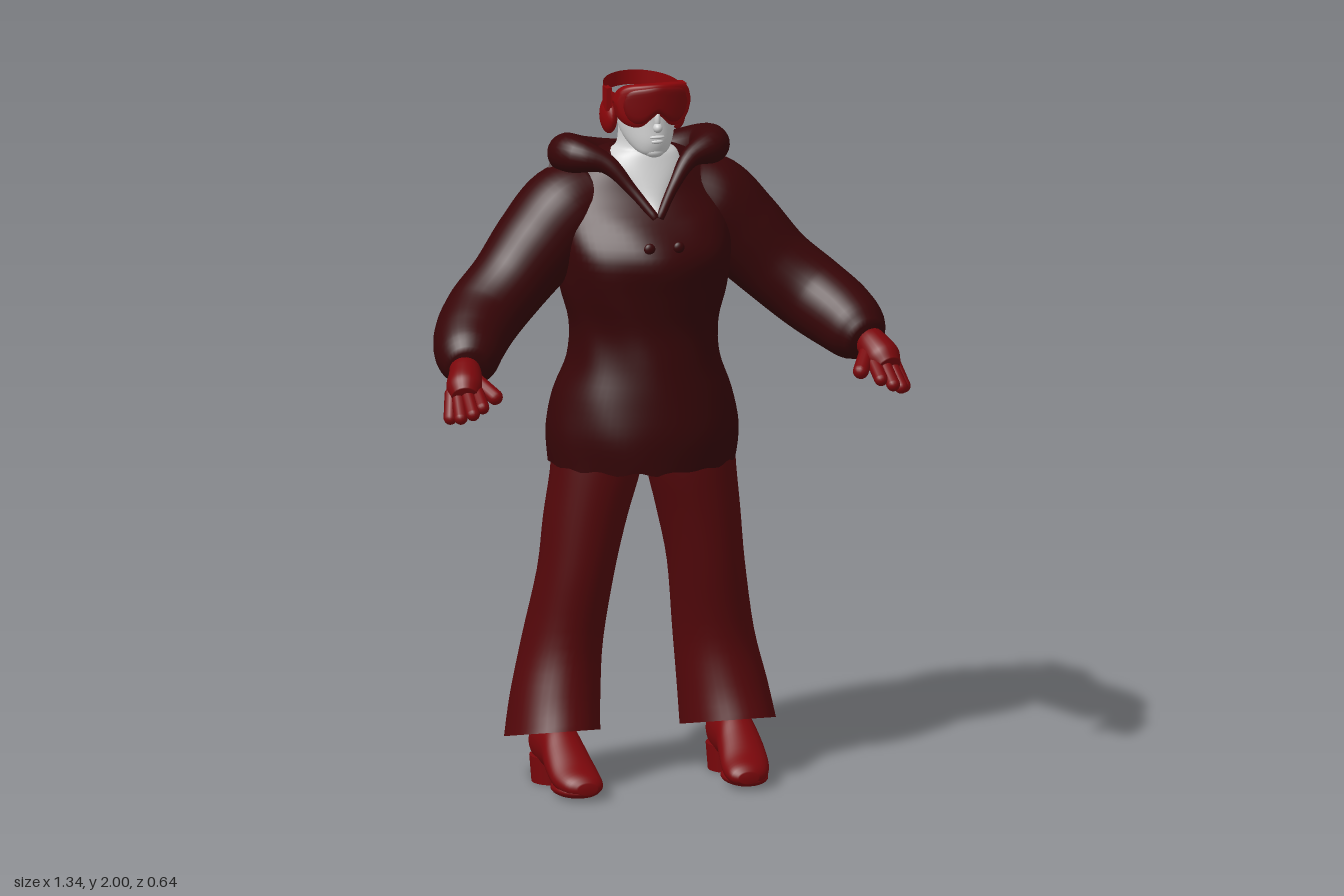
import * as THREE from 'three';

const V = (x, y, z) => new THREE.Vector3(x, y, z);

const mat = (name, color, side = THREE.FrontSide) => {
  const m = new THREE.MeshStandardMaterial({ color, side });
  m.name = name;
  return m;
};

// Smooth surface through closed rings of points, with optional end caps
function skin(rings, caps = true) {
  const n = rings[0].length, pos = [], idx = [];
  rings.forEach(r => r.forEach(p => pos.push(p.x, p.y, p.z)));
  for (let i = 0; i < rings.length - 1; i++) for (let j = 0; j < n; j++) {
    const k = (j + 1) % n, a = i * n + j, b = i * n + k, c = a + n, d = b + n;
    idx.push(a, b, d, a, d, c);
  }
  if (caps) [0, rings.length - 1].forEach(i => {
    const c = V(0, 0, 0);
    rings[i].forEach(p => c.addScaledVector(p, 1 / n));
    const q = pos.length / 3;
    pos.push(c.x, c.y, c.z);
    for (let j = 0; j < n; j++) {
      const a = i * n + j, b = i * n + (j + 1) % n;
      i ? idx.push(q, a, b) : idx.push(q, b, a);
    }
  });
  const g = new THREE.BufferGeometry();
  g.setAttribute('position', new THREE.Float32BufferAttribute(pos, 3));
  g.setIndex(idx);
  g.computeVertexNormals();
  return g;
}

// Upright body of ellipses [cx, y, cz, rx, rz, tilt], smoothed between the rows
function loft(rows, { n = 40, steps = 4, caps = true, rule } = {}) {
  const rings = [], last = rows.length - 1;
  const mid = (k, i, f) => {
    const v = d => rows[Math.min(last, Math.max(0, i + d))][k] || 0;
    const [a, b, c, d] = [v(-1), v(0), v(1), v(2)];
    return b + 0.5 * f * (c - a + f * (2 * a - 5 * b + 4 * c - d + f * (3 * (b - c) + d - a)));
  };
  for (let s = 0; s <= last * steps; s++) {
    const i = Math.min(last - 1, Math.floor(s / steps)), f = s / steps - i;
    const [cx, y, cz, rx, rz, t] = [0, 1, 2, 3, 4, 5].map(k => mid(k, i, f));
    rings.push(Array.from({ length: n }, (_, j) => {
      const a = j / n * Math.PI * 2, dz = rz * Math.cos(a);
      const p = V(cx + rx * Math.sin(a), y + t * dz, cz + dz);
      if (rule) rule(p, s, j, a);
      return p;
    }));
  }
  return skin(rings, caps);
}

// Tube along points [x, y, z, radius]
function limb(pts, n = 24, seg = 32) {
  const path = new THREE.CatmullRomCurve3(pts.map(p => V(p[0], p[1], p[2])));
  const radii = new THREE.CatmullRomCurve3(pts.map((p, i) => V(p[3], i, 0)), false, 'catmullrom');
  const fr = path.computeFrenetFrames(seg);
  const rings = [];
  for (let i = 0; i <= seg; i++) {
    const u = i / seg, c = path.getPointAt(u);
    const r = radii.getPoint(path.getUtoTmapping(u)).x;
    rings.push(Array.from({ length: n }, (_, j) => {
      const a = j / n * Math.PI * 2;
      return c.clone().addScaledVector(fr.normals[i], r * Math.cos(a)).addScaledVector(fr.binormals[i], r * Math.sin(a));
    }));
  }
  return skin(rings);
}

// Wrapped visor with a nose notch; grow and dz make the inset lens
function visor(grow, dz) {
  const rings = [];
  for (let i = 0; i <= 36; i++) {
    const x = (i / 18 - 1) * 0.106 * grow, e = Math.abs(i / 18 - 1);
    const end = Math.pow(1 - Math.pow(e, 8), 0.5) * 0.85 + 0.15;
    const top = 1.997 - 0.01 * e * e, low = 1.868 + 0.036 * Math.exp(-((x / 0.03) ** 2)) + 0.02 * e ** 4;
    const h = (top - low) / 2 * grow * end, y = (top + low) / 2;
    rings.push(Array.from({ length: 24 }, (_, j) => {
      const a = j / 24 * Math.PI * 2, c = Math.cos(a), s = Math.sin(a);
      const z = 0.046 - 4 * x * x + dz + (y + h * c - 1.93) * 0.12;
      return V(x, y + h * Math.sign(c) * Math.sqrt(Math.abs(c)), z + 0.022 * Math.sign(s) * Math.sqrt(Math.abs(s)));
    }));
  }
  return skin(rings);
}

export function createModel() {
  const root = new THREE.Group();
  const jacket = mat('jacket cloth', 0x360507, THREE.DoubleSide);
  const cloth = mat('trouser cloth', 0x53070a, THREE.DoubleSide);
  const leather = mat('red leather', 0x7a070b);
  const red = mat('bright red', 0x8a060a, THREE.DoubleSide);
  const lensMat = mat('lens red', 0x76070b);
  const pale = mat('pale skin', 0xd2d2d2, THREE.DoubleSide);
  const add = (name, geo, m, parent = root) => {
    const mesh = new THREE.Mesh(geo, m);
    mesh.name = name;
    parent.add(mesh);
    return mesh;
  };
  const ball = (name, x, y, z, rx, ry, rz, m) =>
    add(name, new THREE.SphereGeometry(1, 24, 16).scale(rx, ry, rz).translate(x, y, z), m);

  // Jacket body with a slightly ragged hem and a few soft folds
  add('jacketBody', loft([
    [0, 0.908, -0.092, 0.262, 0.226], [0, 1.0, -0.088, 0.268, 0.231], [0, 1.1, -0.088, 0.25, 0.222],
    [0, 1.2, -0.08, 0.213, 0.202], [0, 1.3, -0.075, 0.207, 0.188], [0, 1.4, -0.078, 0.233, 0.205],
    [0, 1.5, -0.073, 0.245, 0.214], [0, 1.58, -0.095, 0.25, 0.188], [0, 1.66, -0.13, 0.245, 0.15],
    [0, 1.72, -0.14, 0.205, 0.13], [0, 1.765, -0.13, 0.14, 0.105], [0, 1.785, -0.11, 0.085, 0.08]
  ], {
    n: 72, caps: false, rule: (p, s, j, a) => {
      if (s === 0) p.y += 0.005 * Math.sin(j * 1.3) + 0.003 * Math.sin(j * 5.1);
      if (s < 30) p.z += 0.004 * Math.sin(a * 7 + p.y * 18);
    }
  }), jacket);
  [0.042, -0.042].forEach(x => ball('button', x, 1.545, 0.122, 0.016, 0.016, 0.01, jacket));

  // Hood lying round the neck: a rolled rim falling to the back and a lower drape
  const arc = half => [...half, ...half.slice(0, -1).reverse().map(([x, y, z, r]) => [-x, y, z, r])];
  add('hoodRim', limb(arc([[0.005, 1.615, 0.06, 0.012], [0.06, 1.69, 0.01, 0.016], [0.12, 1.758, -0.03, 0.028],
    [0.19, 1.777, -0.075, 0.05], [0.2, 1.77, -0.14, 0.056], [0.125, 1.735, -0.215, 0.058], [0, 1.712, -0.243, 0.06]]), 24, 72), jacket);
  add('hoodDrape', limb(arc([[0.21, 1.735, -0.12, 0.05], [0.15, 1.68, -0.2, 0.06], [0, 1.645, -0.238, 0.06]]), 24, 48), jacket);
  add('hoodInner', loft([[0, 1.7, -0.16, 0.2, 0.09], [0, 1.755, -0.15, 0.15, 0.08], [0, 1.775, -0.13, 0.07, 0.05]]), jacket);

  // Neck, open chest and hollow head
  add('chest', loft([[0, 1.622, 0.01, 0.012, 0.054], [0, 1.66, -0.03, 0.058, 0.066], [0, 1.73, -0.07, 0.108, 0.078],
    [0, 1.775, -0.085, 0.098, 0.076], [0, 1.8, -0.09, 0.07, 0.07], [0, 1.86, -0.09, 0.064, 0.074]], { caps: false }), pale);
  add('face', loft([[0, 1.787, 0.015, 0.022, 0.025], [0, 1.8, 0.0, 0.046, 0.05], [0, 1.83, -0.037, 0.066, 0.096],
    [0, 1.87, -0.055, 0.077, 0.113, 0.08], [0, 1.91, -0.058, 0.08, 0.116, 0.28]], {
    caps: false, rule: (p, s, j, a) => { if (s === 16 && Math.cos(a) < 0) p.y += 0.012 * Math.sin(j * 2.1); }
  }), pale);
  ball('chin', 0, 1.8, 0.028, 0.028, 0.018, 0.024, pale);
  ball('noseTip', 0, 1.872, 0.06, 0.013, 0.014, 0.016, pale);
  ball('noseBridge', 0, 1.895, 0.054, 0.009, 0.026, 0.014, pale);
  ball('upperLip', 0, 1.845, 0.053, 0.022, 0.006, 0.011, pale);
  ball('lowerLip', 0, 1.832, 0.051, 0.019, 0.007, 0.012, pale);
  ball('innerMouth', 0, 1.85, -0.015, 0.04, 0.03, 0.05, pale);

  // Goggles, head strap and ear pads
  add('goggleFrame', visor(1, 0), red);
  add('goggleLens', visor(0.86, 0.005), lensMat);
  const strap = add('headStrap', new THREE.CylinderGeometry(1, 1, 0.042, 48, 1, true).scale(0.106, 1, 0.133), red);
  strap.position.set(0, 1.942, -0.087);
  strap.rotation.x = 0.08;

  for (const s of [1, -1]) {
    const side = s > 0 ? 'left' : 'right';
    ball(side + 'Eyeball', s * 0.035, 1.915, 0.012, 0.016, 0.016, 0.016, pale);
    ball(side + 'EarPad', s * 0.098, 1.882, -0.085, 0.022, 0.05, 0.048, red);
    add(side + 'StrapHinge', new THREE.BoxGeometry(0.016, 0.065, 0.035).translate(s * 0.107, 1.935, -0.065), red);

    // Sleeve with gathered cuff
    add(side + 'Sleeve', limb([[s * 0.12, 1.66, -0.13, 0.1], [s * 0.2, 1.615, -0.13, 0.128], [s * 0.29, 1.525, -0.118, 0.124],
      [s * 0.385, 1.425, -0.09, 0.111], [s * 0.472, 1.35, -0.045, 0.109], [s * 0.533, 1.3, 0.035, 0.102],
      [s * 0.562, 1.267, 0.11, 0.086], [s * 0.575, 1.25, 0.155, 0.055]], 32, 48), jacket);

    // Gloved hand: palm, four fingers and thumb
    add(side + 'Palm', limb([[s * 0.58, 1.255, 0.13, 0.04], [s * 0.588, 1.24, 0.17, 0.045],
      [s * 0.602, 1.213, 0.21, 0.05], [s * 0.61, 1.192, 0.24, 0.036]]), leather);
    [[0.572, 1.205, 0.225, 0.574, 1.172, 0.287], [0.6, 1.2, 0.23, 0.605, 1.158, 0.3],
      [0.624, 1.192, 0.22, 0.634, 1.145, 0.28], [0.637, 1.195, 0.2, 0.653, 1.138, 0.243],
      [0.568, 1.23, 0.18, 0.527, 1.19, 0.25]].forEach(([x, y, z, X, Y, Z], i) => {
      const a = V(s * x, y, z), b = V(s * X, Y, Z), d = b.clone().sub(a);
      const f = add(side + (i < 4 ? 'Finger' : 'Thumb'), new THREE.CapsuleGeometry(i < 4 ? 0.019 : 0.022, d.length(), 6, 14), leather);
      f.position.copy(a).addScaledVector(d, 0.5);
      f.quaternion.setFromUnitVectors(V(0, 1, 0), d.normalize());
    });

    // Flared trouser leg, hem lower at the back
    add(side + 'TrouserLeg', loft([[s * 0.253, 0.138, -0.108, 0.13, 0.16, 0.25], [s * 0.24, 0.25, -0.122, 0.123, 0.142, 0.12],
      [s * 0.217, 0.4, -0.13, 0.111, 0.13], [s * 0.187, 0.6, -0.1, 0.106, 0.122], [s * 0.163, 0.75, -0.092, 0.115, 0.126],
      [s * 0.138, 0.88, -0.08, 0.125, 0.122], [s * 0.13, 0.97, -0.08, 0.128, 0.12]], { caps: false }), cloth);

    // Shoe upper lofted heel to toe, with sole and block heel
    add(side + 'Shoe', loft([[s * 0.255, -0.18, -0.1, 0.03, 0.03], [s * 0.255, -0.16, -0.11, 0.05, 0.06],
      [s * 0.253, -0.1, -0.12, 0.058, 0.08], [s * 0.252, -0.03, -0.112, 0.058, 0.072], [s * 0.25, 0.03, -0.082, 0.065, 0.058],
      [s * 0.244, 0.09, -0.052, 0.067, 0.044], [s * 0.236, 0.14, -0.04, 0.054, 0.032], [s * 0.232, 0.16, -0.036, 0.028, 0.016]
    ]).rotateX(Math.PI / 2), leather);
    ball(side + 'Sole', s * 0.245, 0.024, 0.075, 0.064, 0.024, 0.085, leather);
    add(side + 'Heel', new THREE.CylinderGeometry(0.058, 0.052, 0.075, 24).scale(1, 1, 1.15).translate(s * 0.254, 0.0375, -0.12), leather);
  }
  return root;
}
